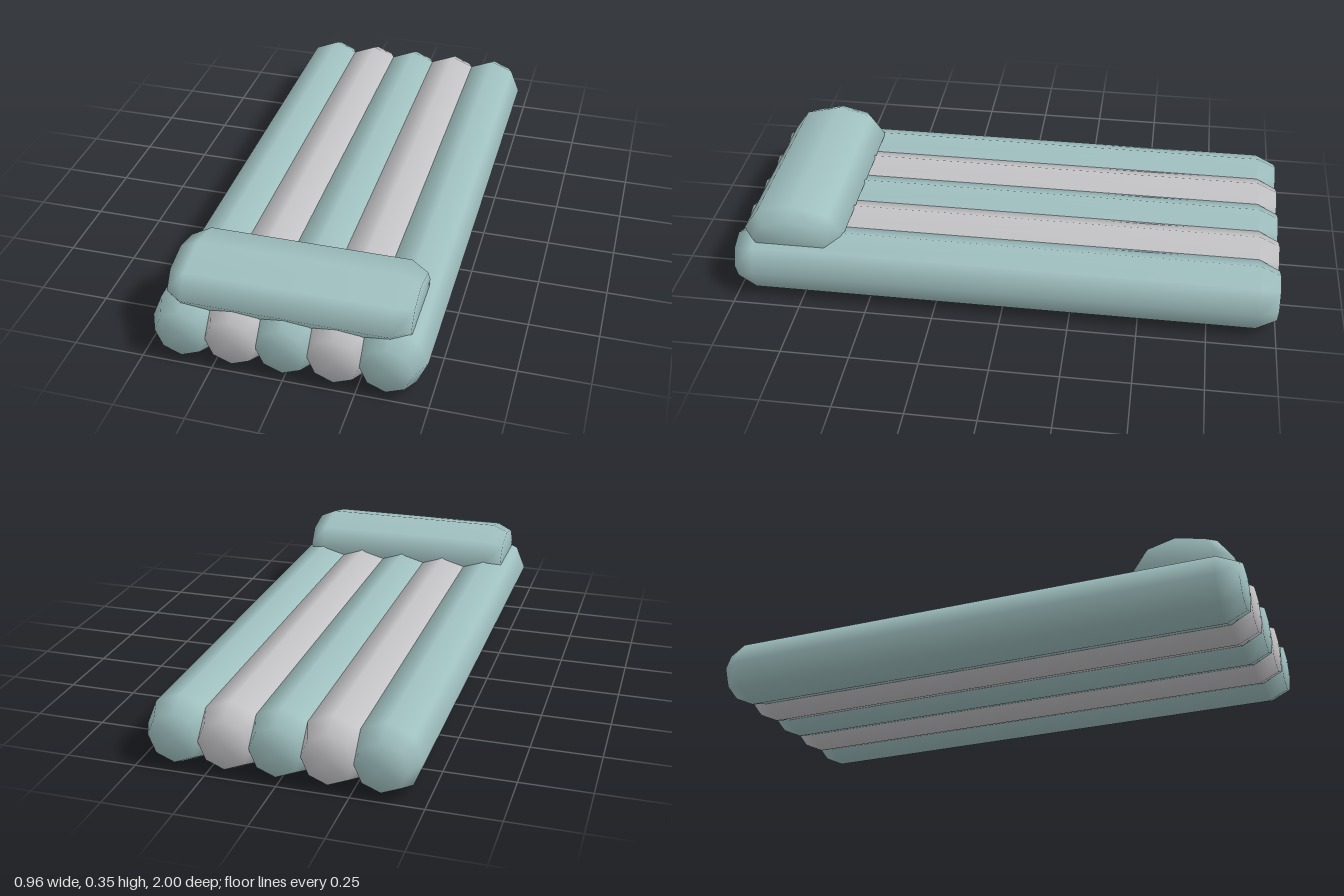
import * as THREE from 'three';

// Inflated eight-sided tube along y, with bevelled, softly shaded ends
function inflatedTube(radius, halfLength, endRadius, bevel) {
  const profile = [
    [0, -halfLength],
    [endRadius, -halfLength],
    [radius, -halfLength + bevel],
    [radius, halfLength - bevel],
    [endRadius, halfLength],
    [0, halfLength],
  ].map(([x, y]) => new THREE.Vector2(x, y));
  return new THREE.LatheGeometry(profile, 8);
}

export function createModel() {
  const group = new THREE.Group();
  group.name = 'airMattress';

  const teal = new THREE.MeshStandardMaterial({ color: 0xa0c0c0 });
  teal.name = 'paleTeal';
  const grey = new THREE.MeshStandardMaterial({ color: 0xc4c4c7 });
  grey.name = 'lightGrey';

  // Five overlapping air tubes in alternating colours
  const tubeGeometry = inflatedTube(0.125, 1, 0.09, 0.075).rotateX(Math.PI / 2);
  for (let i = -2; i <= 2; i++) {
    const tube = new THREE.Mesh(tubeGeometry, i % 2 === 0 ? teal : grey);
    tube.name = `airTube${i + 3}`;
    tube.position.set(i * 0.1775, 0.127, 0);
    group.add(tube);
  }

  // Flattened pillow lying across the front end, sunk into the tubes
  const pillowGeometry = inflatedTube(0.188, 0.42, 0.143, 0.062)
    .scale(0.11 / 0.188, 1, 1)
    .rotateZ(-Math.PI / 2);
  const pillow = new THREE.Mesh(pillowGeometry, teal);
  pillow.name = 'pillow';
  pillow.position.set(0, 0.246, 0.785);
  group.add(pillow);

  return group;
}
